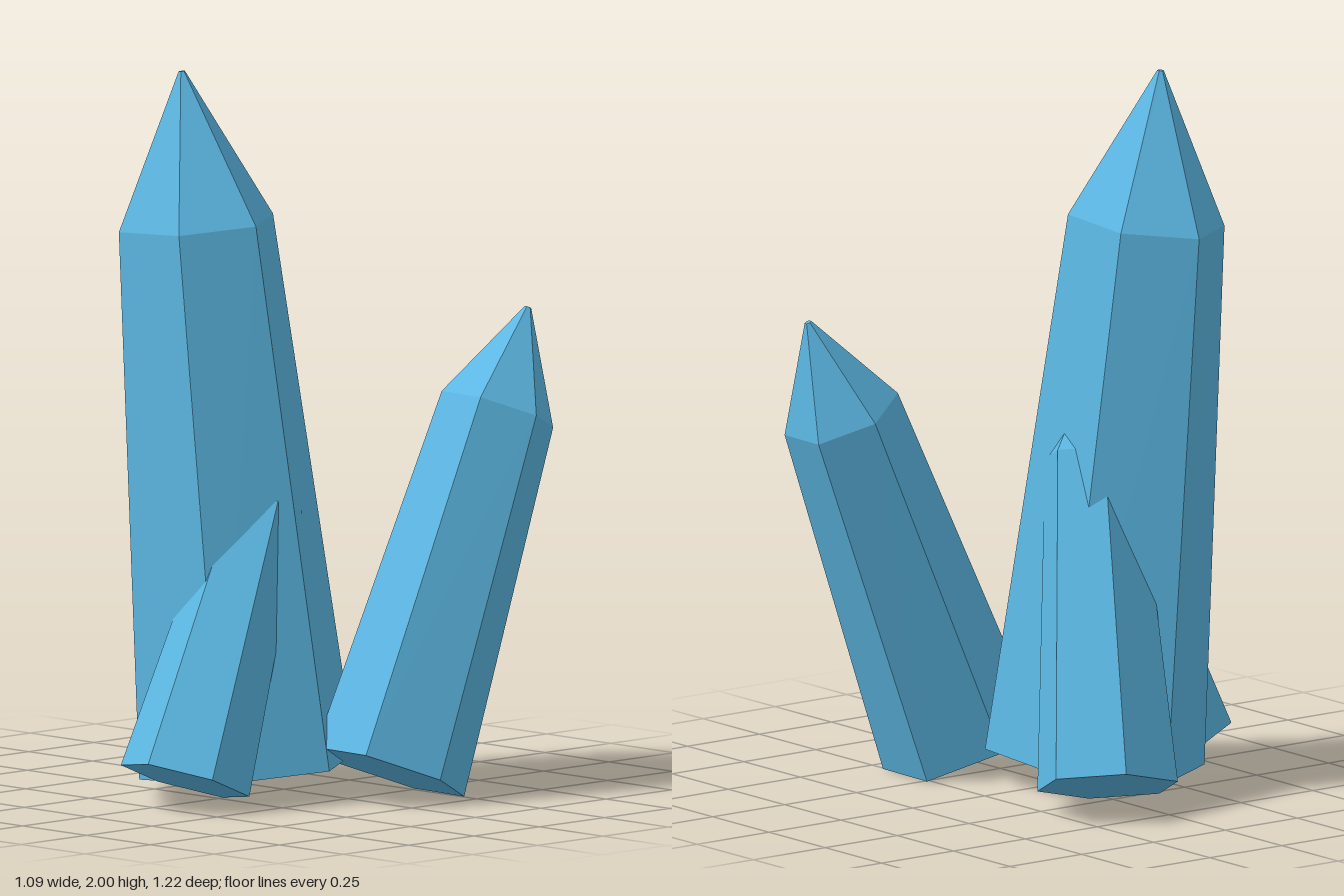
import * as THREE from 'three';

// One crystal: four six-sided rings (base, shoulder, blunt tip), each ring
// tilted to stand square to the crystal's leaning axis.
function crystalGeometry({ base, shoulder, tip, baseR, shoulderR, turn }) {
  const slopeX = (shoulder[0] - base[0]) / (shoulder[1] - base[1]);
  const slopeZ = (shoulder[2] - base[2]) / (shoulder[1] - base[1]);
  const ring = (c, [rx, rz]) => Array.from({ length: 6 }, (_, i) => {
    const a = THREE.MathUtils.degToRad(turn + i * 60);
    const dx = rx * Math.cos(a), dz = rz * Math.sin(a);
    return [c[0] + dx, c[1] - slopeX * dx - slopeZ * dz, c[2] + dz];
  });
  const rings = [ring(base, baseR), ring(shoulder, shoulderR), ring(tip, [0.009, 0.009])];
  const pos = [];
  const tri = (a, b, c) => pos.push(...a, ...b, ...c);
  for (let i = 0; i < 6; i++) {
    const j = (i + 1) % 6;
    // side faces and point facets
    for (let k = 0; k < 2; k++) {
      const lo = rings[k], hi = rings[k + 1];
      tri(lo[i], hi[i], lo[j]);
      tri(lo[j], hi[i], hi[j]);
    }
    // end caps
    tri(base, rings[0][i], rings[0][j]);
    tri(tip, rings[2][j], rings[2][i]);
  }
  const g = new THREE.BufferGeometry();
  g.setAttribute('position', new THREE.Float32BufferAttribute(pos, 3));
  g.computeVertexNormals(); // unshared corners keep the facets flat
  return g;
}

const CRYSTALS = {
  mainCrystal: {
    base: [-0.042, 0.075, 0.1], shoulder: [-0.13, 1.58, 0.21], tip: [-0.155, 2.0, 0.24],
    baseR: [0.322, 0.295], shoulderR: [0.235, 0.208], turn: 0,
  },
  backLeftCrystal: {
    base: [0.335, 0.08, -0.078], shoulder: [0.352, 1.045, -0.473], tip: [0.357, 1.317, -0.585],
    baseR: [0.205, 0.21], shoulderR: [0.158, 0.155], turn: 2,
  },
  frontCrystal: {
    base: [0.065, 0.08, 0.442], shoulder: [0.06, 0.82, 0.15], tip: [0.058, 1.02, 0.07],
    baseR: [0.188, 0.165], shoulderR: [0.122, 0.107], turn: 23,
  },
  backRightCrystal: {
    base: [-0.38, 0.08, -0.12], shoulder: [-0.085, 0.935, 0.055], tip: [-0.02, 1.14, 0.1],
    baseR: [0.18, 0.21], shoulderR: [0.12, 0.138], turn: 19,
  },
};

export function createModel() {
  const group = new THREE.Group();
  group.name = 'crystalCluster';
  const crystalBlue = new THREE.MeshStandardMaterial({ color: 0x5cb8e4 });
  crystalBlue.name = 'crystalBlue';
  for (const [name, spec] of Object.entries(CRYSTALS)) {
    const mesh = new THREE.Mesh(crystalGeometry(spec), crystalBlue);
    mesh.name = name;
    group.add(mesh);
  }
  return group;
}
